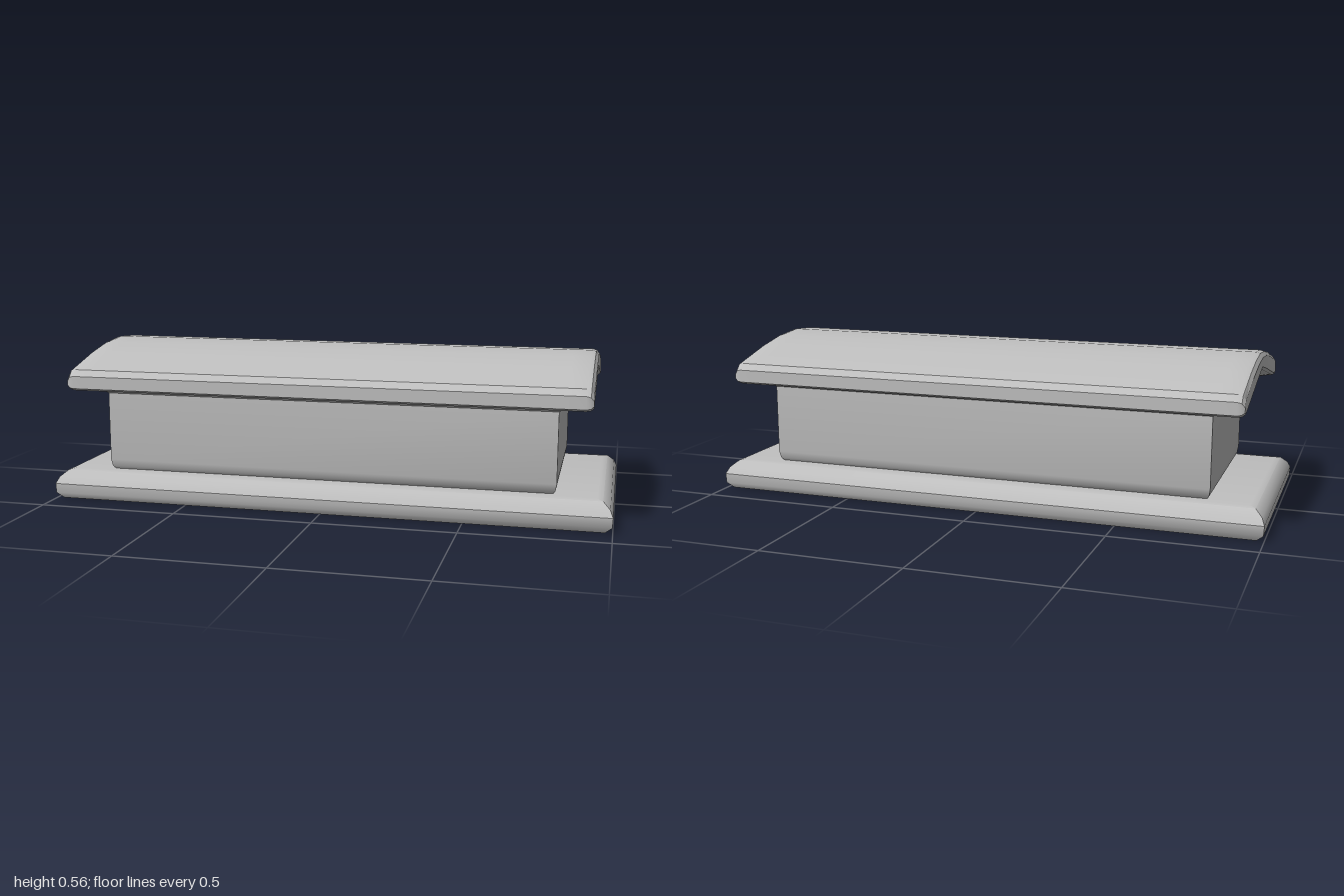
import * as THREE from 'three';
import { toCreasedNormals } from 'three/addons/utils/BufferGeometryUtils.js';

// Skins closed rings (clockwise seen from the loft axis) and closes both ends with strips.
function loft(rings, crease) {
  const n = rings[0].length;
  const index = [];
  for (let r = 0; r < rings.length - 1; r++) {
    for (let i = 0; i < n; i++) {
      const a = r * n + i, b = r * n + (i + 1) % n;
      index.push(a, a + n, b, b, a + n, b + n);
    }
  }
  const last = (rings.length - 1) * n;
  for (let i = 0; i < n / 2 - 1; i++) {
    const a = i, b = i + 1, c = n - 2 - i, d = n - 1 - i;
    index.push(a, b, c, a, c, d);
    index.push(last + a, last + c, last + b, last + a, last + d, last + c);
  }
  const geometry = new THREE.BufferGeometry();
  geometry.setAttribute('position', new THREE.Float32BufferAttribute(rings.flat(2), 3));
  geometry.setIndex(index);
  return toCreasedNormals(geometry, crease);
}

// Horizontal rectangular ring; height may vary with z, zs are the stations along each end.
function rectRing(x, zs, height) {
  const right = zs.map((z) => [x, height(z), z]);
  const left = [...zs].reverse().map((z) => [-x, height(z), z]);
  return [...right, ...left];
}

const mirrorHalf = (half) => [...half, ...half.slice(0, -1).reverse().map(([z, y]) => [-z, y])];

export function createModel() {
  const group = new THREE.Group();
  const stone = new THREE.MeshStandardMaterial({ color: 0xbfbfbf });
  stone.name = 'grey stone';

  const add = (name, geometry) => {
    const mesh = new THREE.Mesh(geometry, stone);
    mesh.name = name;
    group.add(mesh);
  };

  // Base slab: small lower chamfer, softer and wider upper one
  const base = [
    [0.975, 0.385, 0.005], [0.998, 0.399, 0.026], [1, 0.4, 0.06],
    [0.99, 0.385, 0.083], [0.965, 0.36, 0.105], [0.945, 0.34, 0.109],
  ].map(([x, z, y]) => rectRing(x, [-z, z], () => y));
  add('baseSlab', loft(base, 0.6));

  // Chest: tucked in at the foot, flared under the lid, ends follow the gable
  const gable = (z) => 0.393 + 0.067 * Math.min(1, Math.max(0, (0.325 - Math.abs(z)) / 0.265));
  const chestRing = (x, z, height) => rectRing(x, [-z, -0.06, 0.06, z], height);
  const chest = [
    chestRing(0.795, 0.308, () => 0.105),
    chestRing(0.806, 0.32, () => 0.12),
    chestRing(0.81, 0.326, () => 0.145),
    chestRing(0.81, 0.325, gable),
    chestRing(0.84, 0.35, (z) => gable(z) + 0.022),
  ];
  add('chest', loft(chest, 0.5));

  // Lid: arched slab whose underside steps down towards the chest at each end
  const top = mirrorHalf([[0.424, 0.465], [0.405, 0.487], [0.23, 0.531], [0.11, 0.553], [0, 0.562]]);
  const underside = (a, b, c) =>
    mirrorHalf([[0.424, 0.421], [0.405, 0.412], [0.34, a], [0.11, b], [0, c]]);
  const rim = underside(0.425, 0.478, 0.5);
  const inner = underside(0.411, 0.468, 0.478);
  const lidRing = (x, bottom, inset) => [
    ...top.map(([z, y]) => [x, y - inset, z * (1 - inset)]),
    ...[...bottom].reverse().map(([z, y]) => [x, y + inset * 0.6, z * (1 - inset)]),
  ];
  const halfLid = [[0.925, rim, 0.018], [0.915, rim, 0.004], [0.9, rim, 0], [0.84, inner, 0]];
  const lid = [
    ...halfLid.map(([x, b, i]) => lidRing(-x, b, i)),
    ...[...halfLid].reverse().map(([x, b, i]) => lidRing(x, b, i)),
  ];
  add('lid', loft(lid, 0.6));

  return group;
}
